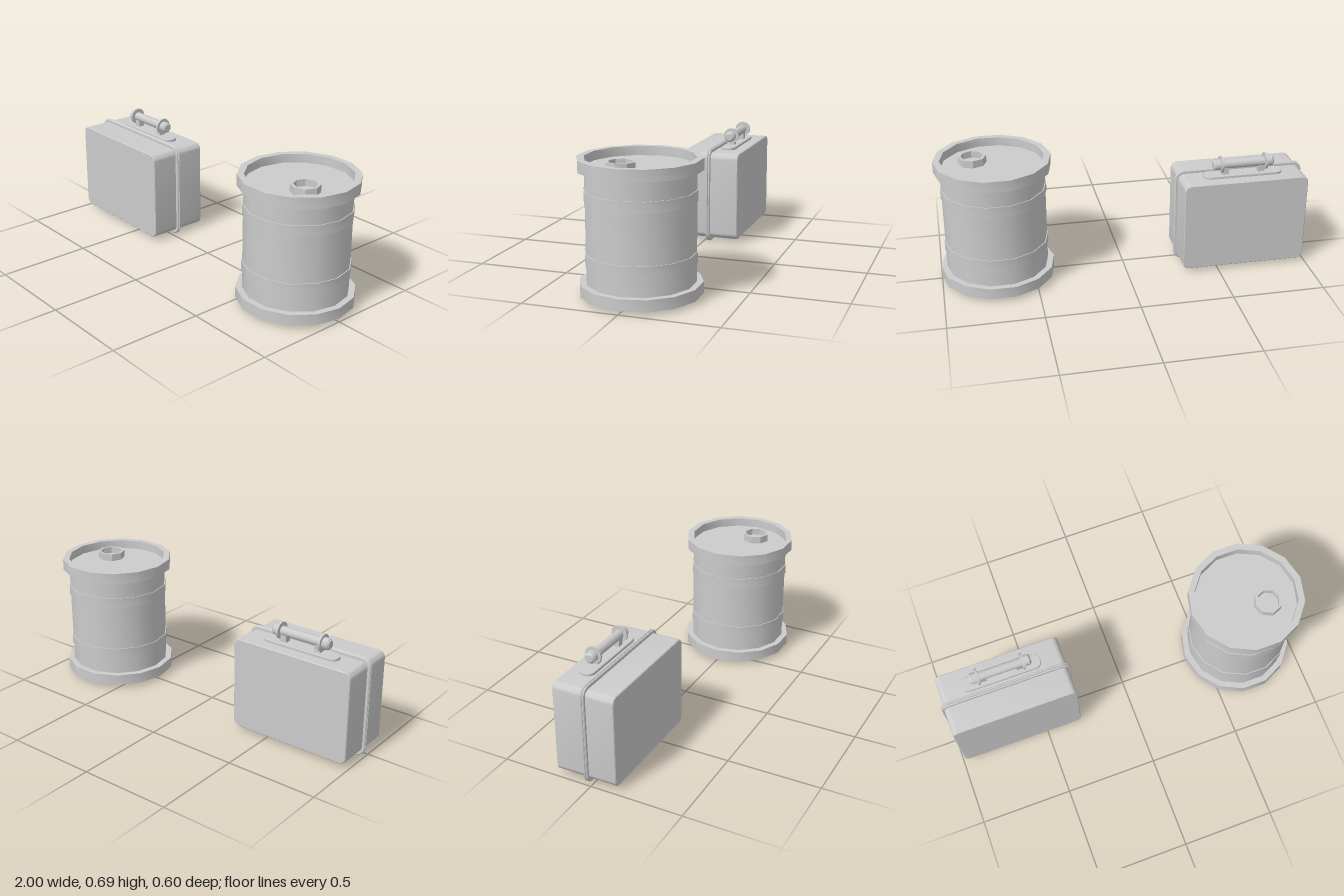
import * as THREE from 'three';
import { toCreasedNormals } from 'three/addons/utils/BufferGeometryUtils.js';

const material = new THREE.MeshStandardMaterial({ color: 0xcccccc, side: THREE.DoubleSide });

function add(parent, name, geometry, x = 0, y = 0, z = 0) {
  const mesh = new THREE.Mesh(toCreasedNormals(geometry, 0.6), material);
  mesh.name = name;
  mesh.position.set(x, y, z);
  parent.add(mesh);
  return mesh;
}

// Turned part with a vertex on the x axis
function turned(profile, sides) {
  const points = profile.map(([r, y]) => new THREE.Vector2(r, y));
  return new THREE.LatheGeometry(points, sides).rotateY(Math.PI / 2);
}

// Rounded rectangle centred on the origin
function roundedRect(w, h, r) {
  const s = new THREE.Shape();
  const x = w / 2, y = h / 2, q = Math.PI / 2;
  s.moveTo(x, -y + r);
  s.absarc(x - r, y - r, r, 0, q);
  s.absarc(-x + r, y - r, r, q, 2 * q);
  s.absarc(-x + r, -y + r, r, 2 * q, 3 * q);
  s.absarc(x - r, -y + r, r, 3 * q, 4 * q);
  return s;
}

// Slab from z = 0 to z = depth with a small bevel inside its outline
function slab(w, h, r, depth, bevel, curveSegments = 3) {
  const shape = roundedRect(w - 2 * bevel, h - 2 * bevel, r - bevel);
  return new THREE.ExtrudeGeometry(shape, {
    depth: depth - 2 * bevel, bevelEnabled: true, bevelSize: bevel,
    bevelThickness: bevel, bevelSegments: 1, curveSegments,
  }).translate(0, 0, bevel);
}

function createDrum() {
  const drum = new THREE.Group();
  drum.name = 'drum';
  drum.position.x = 0.693;

  // Shell with wide end rims and a recessed lid
  add(drum, 'drumShell', turned([
    [0, 0.018], [0.307, 0.018], [0.307, 0.077], [0.274, 0.077], [0.274, 0.633],
    [0.307, 0.633], [0.307, 0.692], [0.272, 0.692], [0.272, 0.645], [0, 0.645],
  ], 14));

  // Raised hoops
  for (const y of [0.174, 0.481]) {
    add(drum, 'drumHoop', turned([
      [0.272, y], [0.279, y], [0.279, y + 0.055], [0.272, y + 0.055],
    ], 14));
  }

  // Open filler neck
  add(drum, 'fillerNeck', turned([
    [0.075, 0], [0.075, 0.04], [0.06, 0.04], [0.06, 0.004], [0, 0.004],
  ], 8), 0.1, 0.645, 0.06);
  return drum;
}

function createCase() {
  const box = new THREE.Group();
  box.name = 'suitcase';
  box.position.x = -0.643;

  // Two shells meeting at the seam
  add(box, 'frontShell', slab(0.685, 0.5, 0.035, 0.165, 0.004), 0, 0.272, -0.03);
  add(box, 'backShell', slab(0.685, 0.5, 0.035, 0.172, 0.004), 0, 0.272, -0.201);

  // Paired lips with a groove between them
  for (const z of [-0.028, -0.04]) {
    add(box, 'seamLip', slab(0.714, 0.54, 0.05, 0.011, 0.004), 0, 0.27, z);
  }

  // Handle on its base plate
  const handle = new THREE.Group();
  handle.name = 'handle';
  handle.position.z = -0.1;
  box.add(handle);
  add(handle, 'handlePlate', slab(0.435, 0.08, 0.036, 0.018, 0.003).rotateX(-Math.PI / 2), 0, 0.519, 0);

  const grip = turned([
    [0, -0.168], [0.02, -0.168], [0.03, -0.158], [0.03, -0.12], [0.025, -0.12],
    [0.025, 0.12], [0.03, 0.12], [0.03, 0.158], [0.02, 0.168], [0, 0.168],
  ], 12).rotateZ(Math.PI / 2);
  add(handle, 'grip', grip, 0, 0.59, 0);

  for (const side of [-1, 1]) {
    add(handle, 'gripCollar',
      new THREE.CylinderGeometry(0.045, 0.045, 0.013, 12).rotateZ(Math.PI / 2),
      side * 0.123, 0.591, 0);
    add(handle, 'handlePost', new THREE.BoxGeometry(0.035, 0.06, 0.035), side * 0.1, 0.555, 0);
  }
  return box;
}

export function createModel() {
  const model = new THREE.Group();
  model.name = 'suitcaseAndDrum';
  model.add(createCase(), createDrum());
  return model;
}
